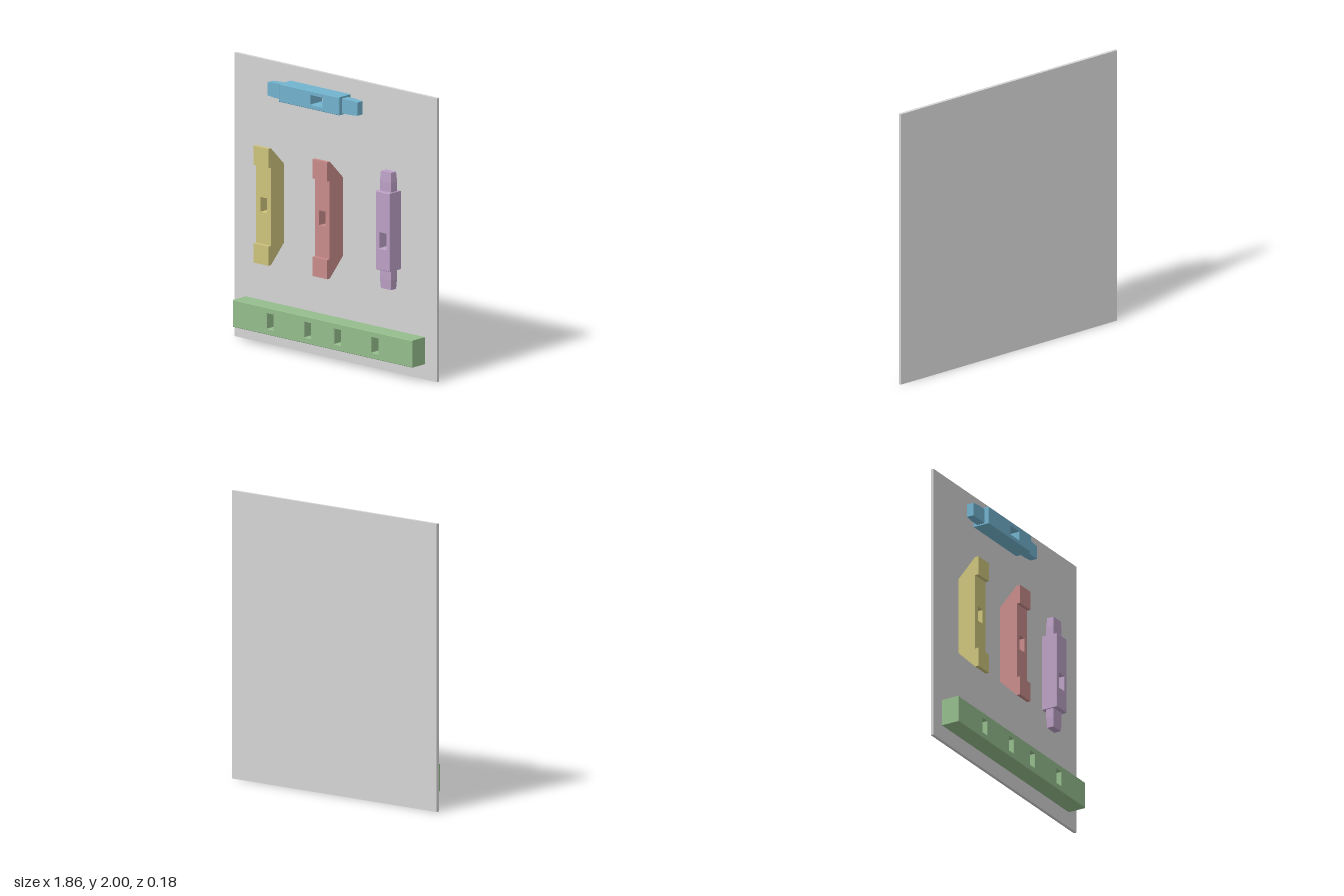
import * as THREE from 'three';

const mat = (name, color) => {
  const m = new THREE.MeshStandardMaterial({ color });
  m.name = name;
  return m;
};

// Rectangular block with through holes given as [centreX, centreY, width, height]
function piercedBlock(w, h, z0, z1, holes, bevel) {
  const rect = (Type, cx, cy, rw, rh) => new Type([
    [-1, -1], [1, -1], [1, 1], [-1, 1],
  ].map(([a, b]) => new THREE.Vector2(cx + a * rw / 2, cy + b * rh / 2)));
  const shape = rect(THREE.Shape, 0, 0, w, h);
  for (const [cx, cy, rw, rh] of holes) shape.holes.push(rect(THREE.Path, cx, cy, rw, rh));
  const g = new THREE.ExtrudeGeometry(shape, {
    depth: z1 - z0 - 2 * bevel, bevelEnabled: bevel > 0, bevelSize: bevel,
    bevelThickness: bevel, bevelOffset: -bevel, bevelSegments: 1,
  });
  return g.translate(0, 0, z0 + bevel);
}

// Tenon pointing along +x: straight at the root, tapering to the tip
function tenonGeometry() {
  const len = 0.14;
  const g = new THREE.BoxGeometry(len, 0.104, 0.06, 2, 1, 1).toNonIndexed();
  const p = g.attributes.position;
  for (let i = 0; i < p.count; i++) {
    if (p.getX(i) > 0.01) p.setXYZ(i, p.getX(i), p.getY(i) * 0.9, p.getZ(i) * 0.85);
  }
  g.computeVertexNormals();
  return g.translate(len / 2, 0, 0);
}

function add(parent, name, geometry, material) {
  const m = new THREE.Mesh(geometry, material);
  m.name = name;
  parent.add(m);
  return m;
}

// Horizontal bar with a mortise and a tenon at each end
function tenonBar(name, material) {
  const bar = new THREE.Group();
  bar.name = name;
  add(bar, 'barBody', piercedBlock(0.552, 0.127, -0.07, 0.052, [[0.068, 0, 0.11, 0.064]], 0.003), material);
  const tenon = tenonGeometry();
  for (const side of [1, -1]) {
    const t = add(bar, side > 0 ? 'tenonA' : 'tenonB', tenon, material);
    t.position.set(side * 0.273, -0.002, -0.01);
    t.rotation.y = side > 0 ? 0 : Math.PI;
  }
  return bar;
}

// Upright bracket with raised heads that slope away at the back
function bracket(name, material) {
  const group = new THREE.Group();
  group.name = name;
  const w = 0.135, half = 0.276, end = 0.412;
  add(group, 'bracketBody', piercedBlock(w, 2 * half, -0.07, 0.066, [[0, 0, 0.06, 0.105]], 0), material);
  const profile = new THREE.Shape([
    [-0.07, half], [0.092, half], [0.092, end], [0.065, end],
  ].map(([z, y]) => new THREE.Vector2(z, y)));
  const head = new THREE.ExtrudeGeometry(profile, { depth: w, bevelEnabled: false })
    .translate(0, 0, -w / 2).rotateY(-Math.PI / 2);
  add(group, 'upperHead', head, material);
  add(group, 'lowerHead', head, material).rotation.z = Math.PI;
  return group;
}

export function createModel() {
  const model = new THREE.Group();
  model.name = 'joineryBoard';
  const grey = mat('grey', 0xd5d5d5);
  const blue = mat('blue', 0x72b3ce);
  const yellow = mat('yellow', 0xcec37d);
  const red = mat('red', 0xc98b8b);
  const purple = mat('purple', 0xbca1c5);
  const green = mat('green', 0x95bd8d);

  // Backing board
  add(model, 'backBoard', new THREE.BoxGeometry(1.86, 2, 0.022).translate(0, 1, -0.081), grey);

  // Tenoned bars: one lying, one upright
  const lying = tenonBar('lyingTenonBar', blue);
  lying.position.set(-0.136, 1.829, 0);
  const upright = tenonBar('uprightTenonBar', purple);
  upright.position.set(0.541, 1.018, 0);
  upright.rotation.z = -Math.PI / 2;
  model.add(lying, upright);

  // Pair of brackets
  const left = bracket('yellowBracket', yellow);
  left.position.set(-0.541, 1.018, 0);
  const middle = bracket('redBracket', red);
  middle.position.set(0, 1.018, 0);
  model.add(left, middle);

  // Long rail with four mortises
  const mortises = [-0.481, -0.137, 0.137, 0.481].map((x) => [x, 0, 0.06, 0.106]);
  add(model, 'mortisedRail', piercedBlock(1.65, 0.19, -0.07, 0.066, mortises, 0.003), green)
    .position.y = 0.205;

  return model;
}
